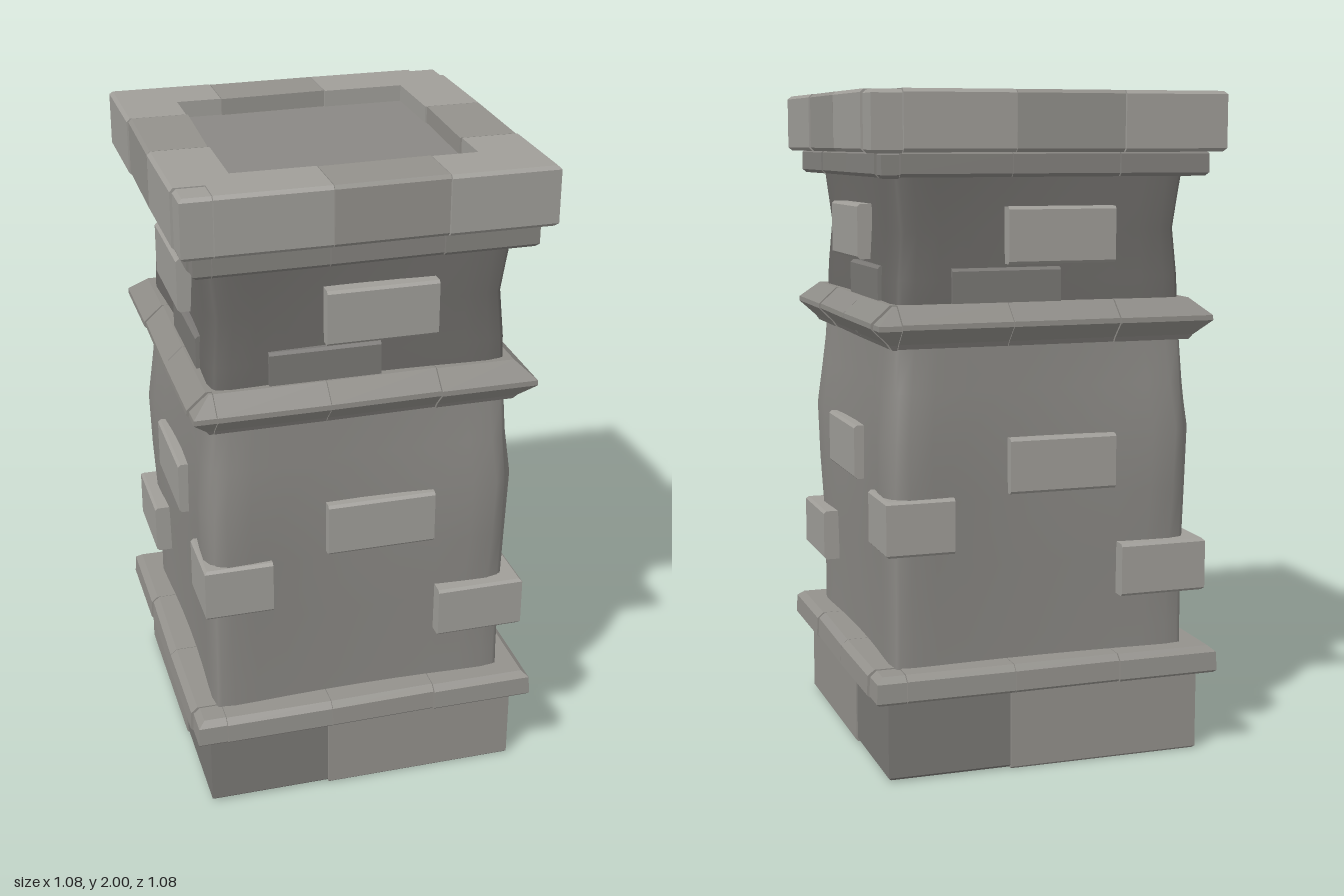
import * as THREE from 'three';

const chipped = color => new THREE.MeshStandardMaterial({ color, flatShading: true });
const plaster = color => new THREE.MeshStandardMaterial({ color });
const paleStone = chipped(0xa09e99);
const greyStone = chipped(0x93918c);
const ridgeStone = chipped(0x8e8c87);
const shadedStone = chipped(0x84827e);
const darkStone = chipped(0x7a7875);
const lowerPlaster = plaster(0x8a8884);
const neckPlaster = plaster(0x6c6a67);

// Plans are lists of [x, z], each a function of the outer reach o
const cornerPlan = (e, i, sx, sz) => o =>
  [[e, i], [i, i], [i, e], [o, e], [o, o], [e, o]].map(([p, q]) => [p * sx, q * sz]);
const notchedPlan = (e, i, n, sx, sz) => o =>
  [[e, i], [i, i], [i, e], [o, e], [o, n], [n, n], [n, o], [e, o]].map(([p, q]) => [p * sx, q * sz]);
const plugPlan = (n, sx, sz) => o =>
  [[n, n], [o, n], [o, o], [n, o]].map(([p, q]) => [p * sx, q * sz]);

// The four sides: position u along the wall, distance d from the centre
const sides = [
  (u, d) => [u, d], (u, d) => [d, u], (u, d) => [-u, -d], (u, d) => [-d, -u],
];
const sidePlan = (a, b, i, side, skew = 0) => o =>
  [[a, i + skew], [b, i - skew], [b, o - skew], [a, o]].map(([u, d]) => side(u, d));

// Stacks one plan through levels of [y, reach] and closes both ends
function block(name, material, plan, levels) {
  const rings = levels.map(([y, o]) => {
    const pts = plan(o).map(([x, z]) => new THREE.Vector2(x, -z));
    if (THREE.ShapeUtils.isClockWise(pts)) pts.reverse();
    return pts.map(p => new THREE.Vector3(p.x, y, -p.y));
  });
  const n = rings[0].length, last = rings.length - 1, out = [];
  const tri = (...v) => v.forEach(p => out.push(p.x, p.y, p.z));
  for (let j = 0; j < last; j++) {
    for (let i = 0; i < n; i++) {
      const k = (i + 1) % n;
      tri(rings[j][i], rings[j][k], rings[j + 1][k]);
      tri(rings[j][i], rings[j + 1][k], rings[j + 1][i]);
    }
  }
  const flat = rings[last].map(p => new THREE.Vector2(p.x, -p.z));
  for (const [a, b, c] of THREE.ShapeUtils.triangulateShape(flat, [])) {
    tri(rings[last][a], rings[last][b], rings[last][c]);
    tri(rings[0][c], rings[0][b], rings[0][a]);
  }
  const geo = new THREE.BufferGeometry();
  geo.setAttribute('position', new THREE.Float32BufferAttribute(out, 3));
  geo.computeVertexNormals();
  const mesh = new THREE.Mesh(geo, material);
  mesh.name = name;
  return mesh;
}

// Straight block face with worn edges
const worn = (y0, y1, o, w = 0.01) =>
  [[y0, o - w], [y0 + w, o], [y1 - w, o], [y1, o - w]];

// A full course: two corner stones, two notched corners with plugs, four middle stones
function course(name, material, middleMaterial, levels, inner) {
  const g = new THREE.Group(), gap = 0.001;
  g.name = name;
  for (const s of [1, -1]) {
    g.add(block('cornerStone', material, cornerPlan(0.22 + gap, inner, s, s), levels));
    g.add(block('notchedCornerStone', material, notchedPlan(0.11 + gap, inner, 0.44, -s, s), levels));
    g.add(block('cornerPlug', material, plugPlan(0.441, -s, s), levels.map(([y, o]) => [y - 0.003, o - 0.007])));
  }
  for (const side of sides)
    g.add(block('middleStone', middleMaterial, sidePlan(-0.11 + gap, 0.22 - gap, inner, side, 0.005), levels));
  return g;
}

// Plastered wall: rings of [y, bulge reach, mid-face reach, corner rounding]
function plasterWall(name, material, profile) {
  const per = 12, n = per * 4, pos = [], idx = [];
  profile.forEach(([y, c, m, r], j) => {
    for (let i = 0; i < n; i++) {
      const t = Math.sin(((i % per) / per - 0.5) * Math.PI);
      const round = r * Math.pow(Math.abs(t), 12);
      const d = m + (c - m) * Math.min(1, (t / 0.85) ** 2) - round;
      const u = t * (c - round);
      const p = [[u, d], [d, -u], [-u, -d], [-d, u]][Math.floor(i / per)];
      pos.push(p[0], y, p[1]);
      if (j < profile.length - 1) {
        const k = (i + 1) % n, a = j * n;
        idx.push(a + i, a + k, a + n + k, a + i, a + n + k, a + n + i);
      }
    }
  });
  const geo = new THREE.BufferGeometry();
  geo.setAttribute('position', new THREE.Float32BufferAttribute(pos, 3));
  geo.setIndex(idx);
  geo.computeVertexNormals();
  const wall = new THREE.Mesh(geo, material);
  wall.name = name;
  return wall;
}

export function createModel() {
  const tower = new THREE.Group();
  tower.name = 'stoneTower';

  // Bulging lower shaft, narrower neck and the sunken roof floor
  tower.add(plasterWall('lowerShaft', lowerPlaster, [
    [0.25, 0.462, 0.448, 0.01], [0.4, 0.462, 0.448, 0.012], [0.62, 0.467, 0.452, 0.018],
    [0.82, 0.48, 0.455, 0.03], [1, 0.486, 0.452, 0.035], [1.14, 0.468, 0.442, 0.026],
    [1.27, 0.452, 0.435, 0.014], [1.34, 0.446, 0.432, 0.012],
  ]));
  tower.add(plasterWall('neck', neckPlaster, [
    [1.34, 0.446, 0.432, 0.012], [1.46, 0.445, 0.43, 0.016], [1.6, 0.434, 0.422, 0.016],
    [1.76, 0.449, 0.42, 0.012], [1.95, 0.44, 0.42, 0.012],
  ]));
  const floor = new THREE.Mesh(new THREE.PlaneGeometry(0.84, 0.84).rotateX(-Math.PI / 2), lowerPlaster);
  floor.name = 'roofFloor';
  floor.position.y = 1.95;
  tower.add(floor);

  // Foundation of two long and two short corner blocks
  const base = new THREE.Group();
  base.name = 'foundation';
  for (const s of [1, -1]) {
    base.add(block('longFoundationStone', greyStone, cornerPlan(-0.109, 0.33, s, s), worn(0, 0.255, 0.49, 0.006)));
    base.add(block('shortFoundationStone', darkStone, cornerPlan(0.111, 0.33, -s, s), worn(0.004, 0.255, 0.486, 0.008)));
  }
  tower.add(base);

  // Courses from bottom to top
  tower.add(course('lowerCourse', greyStone, greyStone,
    [[0.25, 0.53], [0.258, 0.538], [0.315, 0.535], [0.332, 0.515]], 0.36));
  tower.add(course('ridgeCourse', ridgeStone, ridgeStone,
    [[1.27, 0.46], [1.285, 0.47], [1.33, 0.515], [1.345, 0.514], [1.395, 0.458]], 0.36));
  tower.add(course('upperCourse', shadedStone, shadedStone, worn(1.755, 1.83, 0.5), 0.37));
  tower.add(course('parapet', paleStone, greyStone, worn(1.825, 2, 0.538), 0.358));

  // Loose bricks showing through the plaster
  const bricks = new THREE.Group();
  bricks.name = 'exposedBricks';
  for (const side of sides) {
    for (const [a, b, y0, y1, reach, material] of [
      [-0.11, 0.22, 0.835, 1, 0.486, paleStone],
      [-0.11, 0.22, 1.505, 1.67, 0.468, paleStone],
      [-0.275, 0.055, 1.335, 1.495, 0.45, darkStone],
    ]) bricks.add(block('wallBrick', material, sidePlan(a, b, 0.38, side), worn(y0, y1, reach, 0.008)));
  }
  for (const s of [1, -1]) {
    bricks.add(block('lowCornerBrick', paleStone, cornerPlan(0.235, 0.38, s, s), worn(0.505, 0.665, 0.506, 0.008)));
    bricks.add(block('highCornerBrick', paleStone, cornerPlan(0.28, 0.38, -s, s), worn(0.67, 0.835, 0.487, 0.008)));
  }
  tower.add(bricks);
  return tower;
}
